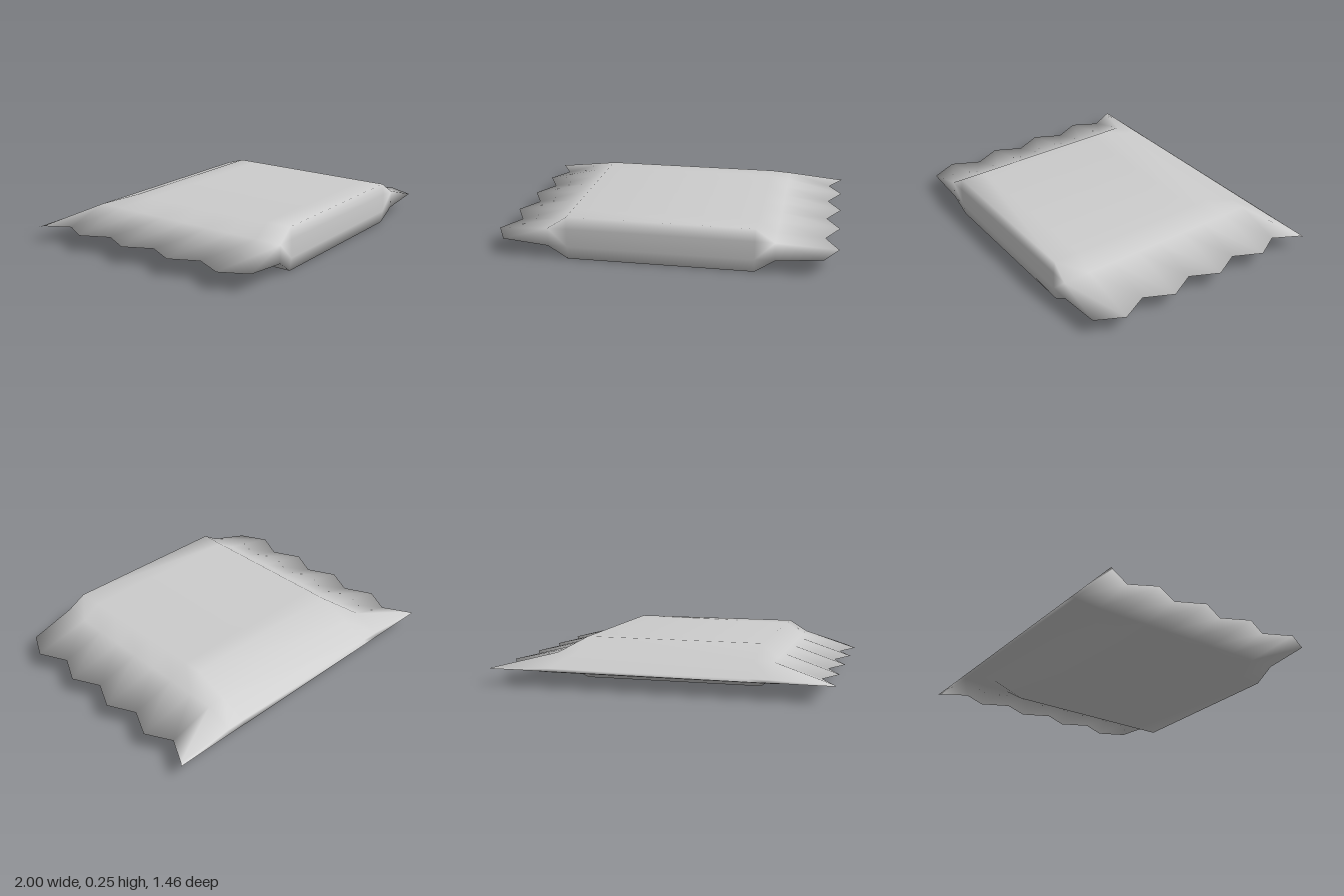
import * as THREE from 'three';
import { mergeVertices } from 'three/addons/utils/BufferGeometryUtils.js';

// Stations from back to front: [z, half width of the crimped edge]
const ROWS = [
  [-0.73, 1.0], [-0.71, 0.985], [-0.56, 0.905], [-0.41, 0.985], [-0.245, 0.905],
  [-0.085, 0.985], [0.08, 0.905], [0.24, 0.985], [0.405, 0.905], [0.57, 0.985], [0.73, 0.905],
];
const LAST = ROWS.length - 1;
const SHOULDER = 0.64, CREST = 0.53;

// One row of points across the packet; side is 1 for the top, -1 for the underside
function sheetRow(i, side) {
  const [z, edge] = ROWS[i];
  const up = side > 0;
  const seam = i === 0 ? 0.095 : 0.1;
  const shoulderY = [0.095, up ? 0.108 : 0.088][i] ?? (up ? 0.18 : 0.075);
  const crestY = i < 3 ? shoulderY : (up ? 0.25 : 0);
  const crestZ = i === 3 ? -0.36 : i === LAST ? 0.72 : z;
  return [
    [-edge, seam, z], [-SHOULDER, shoulderY, z], [-CREST, crestY, crestZ],
    [CREST, crestY, crestZ], [SHOULDER, shoulderY, z], [edge, seam, z],
  ];
}

// Front wall row, bulging slightly past the crest
function wallRow(y) {
  const edge = ROWS[LAST][1], z = ROWS[LAST][0];
  return [
    [-edge, 0.1, z], [-SHOULDER, y, z], [-CREST, y, z],
    [CREST, y, z], [SHOULDER, y, z], [edge, 0.1, z],
  ];
}

// Skin wrapped from the back seam over the top, down the front and back below
function packetGeometry() {
  const rows = [];
  for (let i = 0; i <= LAST; i++) rows.push(sheetRow(i, 1));
  rows.push(wallRow(0.18), wallRow(0.075));
  for (let i = LAST; i >= 0; i--) rows.push(sheetRow(i, -1));

  const positions = [];
  const same = (p, q) => p.every((v, k) => Math.abs(v - q[k]) < 1e-6);
  const tri = (a, b, c) => {
    if (!same(a, b) && !same(b, c) && !same(a, c)) positions.push(...a, ...b, ...c);
  };
  for (let i = 0; i < rows.length - 1; i++) {
    for (let j = 0; j < 5; j++) {
      const a = rows[i][j], b = rows[i + 1][j], c = rows[i + 1][j + 1], d = rows[i][j + 1];
      // Mirror the diagonals about the middle
      if (j < 3) { tri(a, b, c); tri(a, c, d); }
      else { tri(a, b, d); tri(b, c, d); }
    }
  }
  const raw = new THREE.BufferGeometry();
  raw.setAttribute('position', new THREE.Float32BufferAttribute(positions, 3));
  const geometry = mergeVertices(raw, 1e-4);
  geometry.computeVertexNormals();
  return geometry;
}

export function createModel() {
  const group = new THREE.Group();
  group.name = 'packet';
  const wrapper = new THREE.MeshStandardMaterial({ color: 0xcccccc, side: THREE.DoubleSide });
  wrapper.name = 'wrapper grey';
  const skin = new THREE.Mesh(packetGeometry(), wrapper);
  skin.name = 'packetSkin';
  group.add(skin);
  return group;
}
